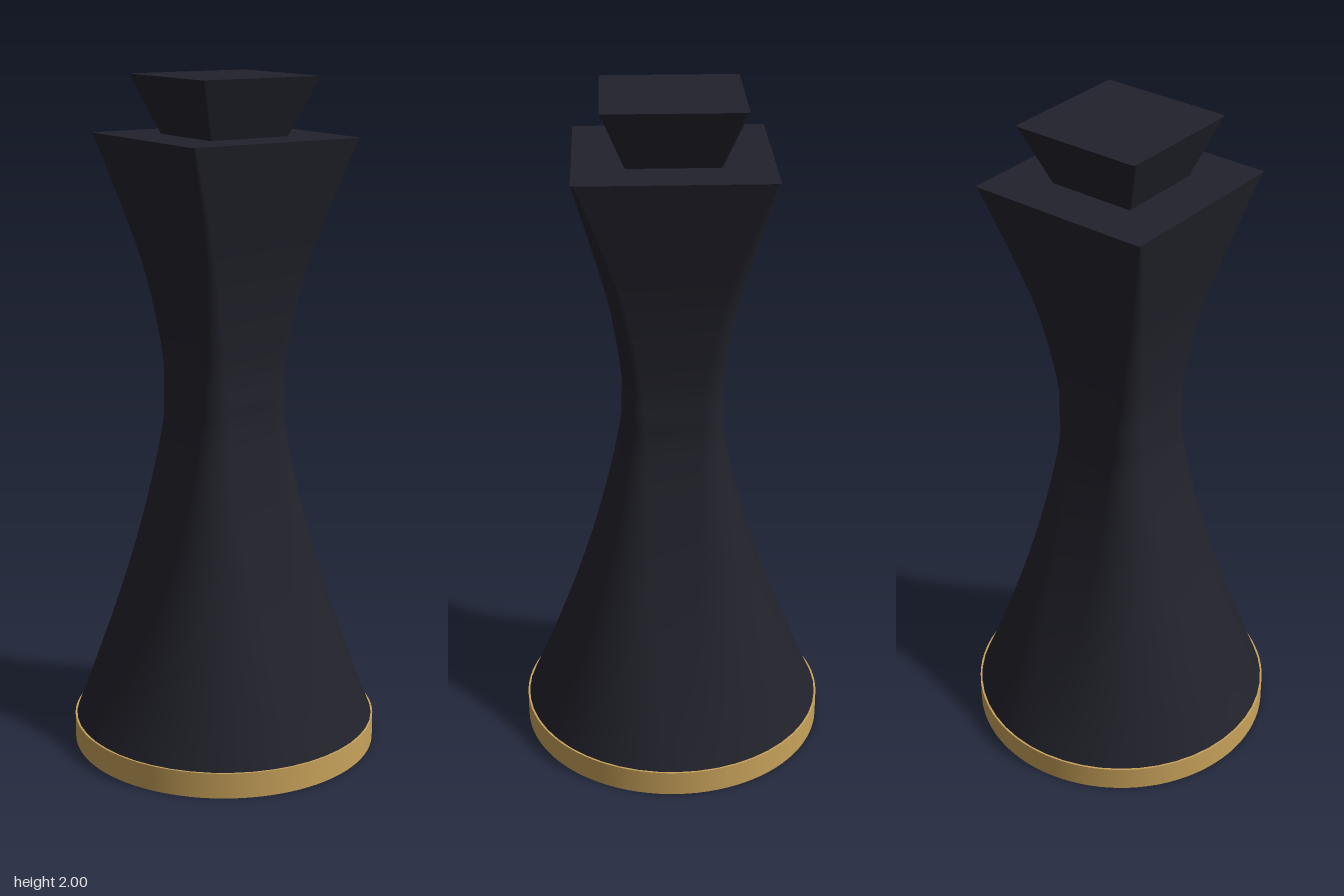
import * as THREE from 'three';

const ARC = 12; // segments per rounded corner

// Rounded-square outline: half width a, corner radius r (r = a gives a circle)
function outline(a, r, y) {
  const pts = [];
  for (let q = 0; q < 4; q++) {
    const mid = (q + 0.5) * Math.PI / 2;
    const cx = Math.sign(Math.cos(mid)) * (a - r), cz = Math.sign(Math.sin(mid)) * (a - r);
    for (let i = 0; i <= ARC; i++) {
      const t = (q + i / ARC) * Math.PI / 2;
      pts.push([cx + r * Math.cos(t), y, cz + r * Math.sin(t)]);
    }
  }
  return pts;
}

// Skin a stack of outlines, closing both ends with crisp caps
function loft(rings) {
  const n = rings[0].length, pos = [], idx = [];
  rings.forEach(ring => ring.forEach(p => pos.push(...p)));
  for (let k = 0; k < rings.length - 1; k++) {
    for (let i = 0; i < n; i++) {
      const a = k * n + i, b = k * n + (i + 1) % n;
      idx.push(a, a + n, b, a + n, b + n, b);
    }
  }
  const cap = (ring, up) => {
    const c = pos.length / 3;
    pos.push(0, ring[0][1], 0);
    ring.forEach(p => pos.push(...p));
    for (let i = 0; i < n; i++) {
      const a = c + 1 + i, b = c + 1 + (i + 1) % n;
      if (up) idx.push(c, b, a); else idx.push(c, a, b);
    }
  };
  cap(rings[0], false);
  cap(rings[rings.length - 1], true);
  const geo = new THREE.BufferGeometry();
  geo.setAttribute('position', new THREE.Float32BufferAttribute(pos, 3));
  geo.setIndex(idx);
  geo.computeVertexNormals();
  return geo;
}

export function createModel() {
  const group = new THREE.Group();
  const ebony = new THREE.MeshStandardMaterial({ color: 0x22222c });
  ebony.name = 'ebony';
  const brass = new THREE.MeshStandardMaterial({ color: 0xc8a25a });
  brass.name = 'brass';
  const add = (name, geo, mat, y = 0) => {
    const mesh = new THREE.Mesh(geo, mat);
    mesh.name = name;
    mesh.position.y = y;
    group.add(mesh);
  };

  // Base disc
  add('baseDisc', new THREE.CylinderGeometry(0.458, 0.458, 0.077, 96), brass, 0.0385);

  // Waisted body, blending from a round foot to a square shoulder
  const profile = new THREE.SplineCurve([
    [0.453, 0.076], [0.395, 0.2], [0.313, 0.4], [0.244, 0.6], [0.19, 0.8], [0.153, 0.98],
    [0.147, 1.08], [0.147, 1.2], [0.177, 1.42], [0.218, 1.6], [0.277, 1.832],
  ].map(p => new THREE.Vector2(...p)));
  const rings = [];
  for (let i = 0; i <= 40; i++) {
    const p = profile.getPoint(i / 40);
    const s = (p.y - 0.076) / (1.832 - 0.076);
    rings.push(outline(p.x, p.x * THREE.MathUtils.lerp(1, 0.03, s), p.y));
  }
  add('body', loft(rings), ebony);

  // Flared square crown
  add('crown', loft([outline(0.13, 0.008, 1.825), outline(0.198, 0.01, 2)]), ebony);

  return group;
}
